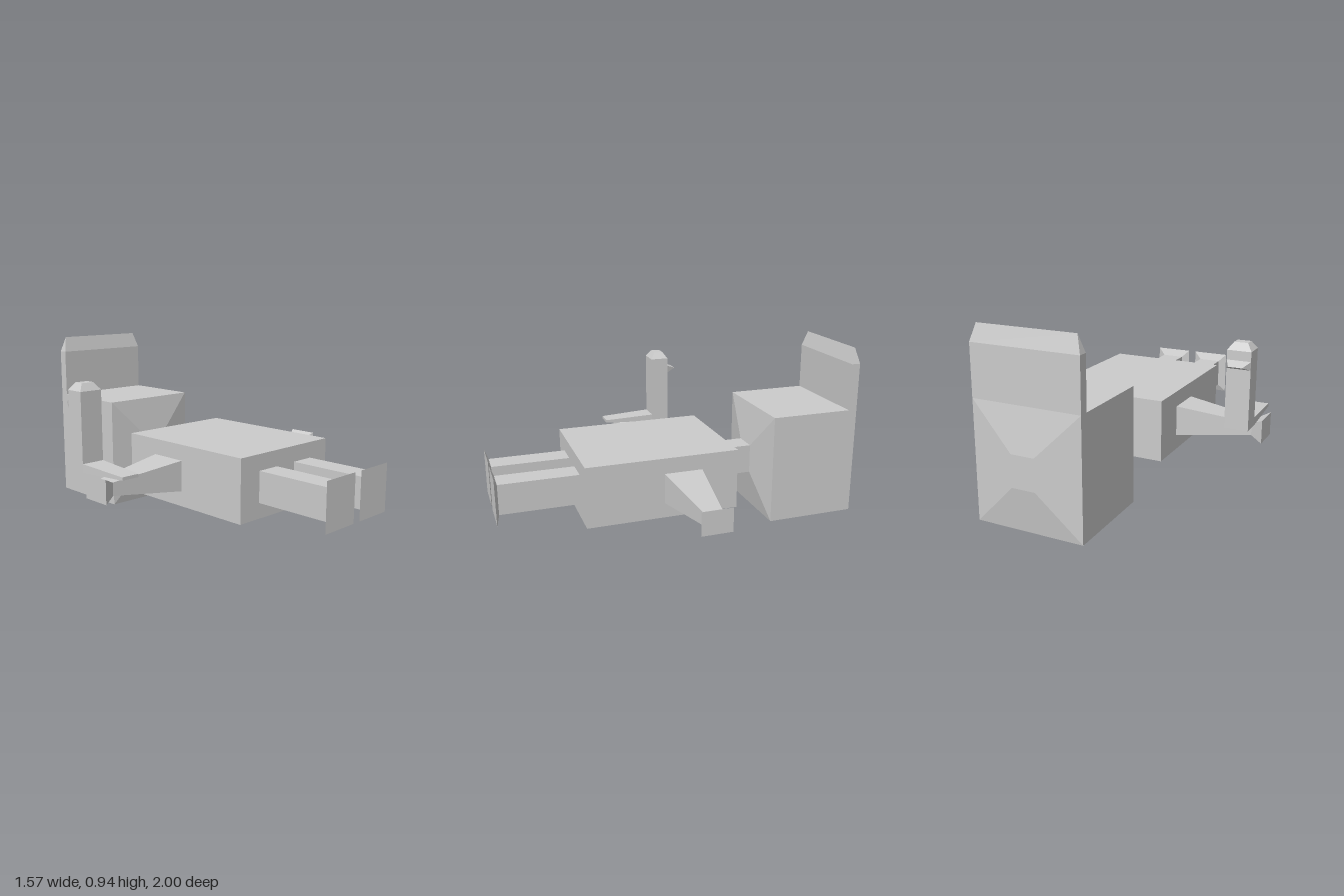
import * as THREE from 'three';

const material = new THREE.MeshStandardMaterial({ color: 0xcccccc, flatShading: true });

// Lofts rectangles [position, a0, a1, b0, b1] along an axis, positions ascending.
// (a, b) are (x, y) for axis z, (y, z) for axis x and (z, x) for axis y.
function loft(name, axis, sections) {
  const place = {
    x: (p, a, b) => [p, a, b],
    y: (p, a, b) => [b, p, a],
    z: (p, a, b) => [a, b, p],
  }[axis];
  const rings = sections.map(([p, a0, a1, b0, b1]) =>
    [[a0, b0], [a1, b0], [a1, b1], [a0, b1]].map(([a, b]) => place(p, a, b)));
  const positions = [];
  const quad = (a, b, c, d) => positions.push(...a, ...b, ...c, ...a, ...c, ...d);
  for (let i = 0; i < rings.length - 1; i++) {
    const [r, s] = [rings[i], rings[i + 1]];
    for (let k = 0; k < 4; k++) {
      const n = (k + 1) % 4;
      quad(r[k], r[n], s[n], s[k]);
    }
  }
  const [first, last] = [rings[0], rings[rings.length - 1]];
  quad(first[3], first[2], first[1], first[0]);
  quad(last[0], last[1], last[2], last[3]);
  const geometry = new THREE.BufferGeometry();
  geometry.setAttribute('position', new THREE.Float32BufferAttribute(positions, 3));
  geometry.computeVertexNormals();
  const mesh = new THREE.Mesh(geometry, material);
  mesh.name = name;
  return mesh;
}

export function createModel() {
  const model = new THREE.Group();
  model.name = 'lyingFigure';

  // Body and neck
  model.add(loft('body', 'z', [
    [-0.238, -0.325, 0.325, 0.14, 0.463],
    [0.573, -0.325, 0.325, 0.14, 0.463],
  ]));
  model.add(loft('neck', 'z', [
    [-0.43, -0.065, 0.065, 0.22, 0.38],
    [-0.238, -0.065, 0.065, 0.22, 0.38],
  ]));

  // Head with shallow pyramids at both ends
  model.add(loft('head', 'z', [
    [-1, -0.06, 0.06, 0.22, 0.38],
    [-0.965, -0.28, 0.28, 0, 0.598],
    [-0.468, -0.28, 0.28, 0, 0.598],
    [-0.43, -0.065, 0.065, 0.22, 0.38],
  ]));

  // Upright crest rising to a sharp ridge
  model.add(loft('headCrest', 'y', [
    [0.598, -0.965, -0.917, -0.28, 0.28],
    [0.855, -0.965, -0.917, -0.28, 0.28],
    [0.94, -0.941, -0.941, -0.256, 0.256],
  ]));

  // Arms with flared hands, legs with flared feet
  for (const side of [1, -1]) {
    const arm = [
      [0.325, 0.22, 0.38, -0.04, 0.163],
      [0.72, 0.266, 0.332, 0.013, 0.112],
      [0.783, 0.24, 0.362, -0.018, 0.142],
    ];
    const armSections = side > 0 ? arm : arm.map(([p, ...r]) => [-p, ...r]).reverse();
    model.add(loft(side > 0 ? 'leftArm' : 'rightArm', 'x', armSections));

    const c = side * 0.13;
    model.add(loft(side > 0 ? 'leftLeg' : 'rightLeg', 'z', [
      [0.573, c - 0.064, c + 0.064, 0.22, 0.38],
      [0.983, c - 0.064, c + 0.064, 0.22, 0.38],
      [1, c - 0.107, c + 0.107, 0.178, 0.423],
    ]));
  }

  // Hand tool: upright shaft, rear spike and forward blade
  const tool = new THREE.Group();
  tool.name = 'handTool';
  tool.add(loft('toolShaft', 'y', [
    [0.353, -0.178, -0.075, -0.758, -0.637],
    [0.75, -0.178, -0.075, -0.758, -0.637],
    [0.787, -0.153, -0.1, -0.732, -0.663],
  ]));
  tool.add(loft('toolSpike', 'z', [
    [-0.233, -0.732, -0.663, 0.681, 0.681],
    [-0.178, -0.758, -0.637, 0.66, 0.702],
  ]));
  tool.add(loft('toolBlade', 'z', [
    [-0.075, -0.758, -0.637, 0.353, 0.395],
    [0.22, -0.746, -0.65, 0.367, 0.383],
  ]));
  model.add(tool);

  return model;
}
